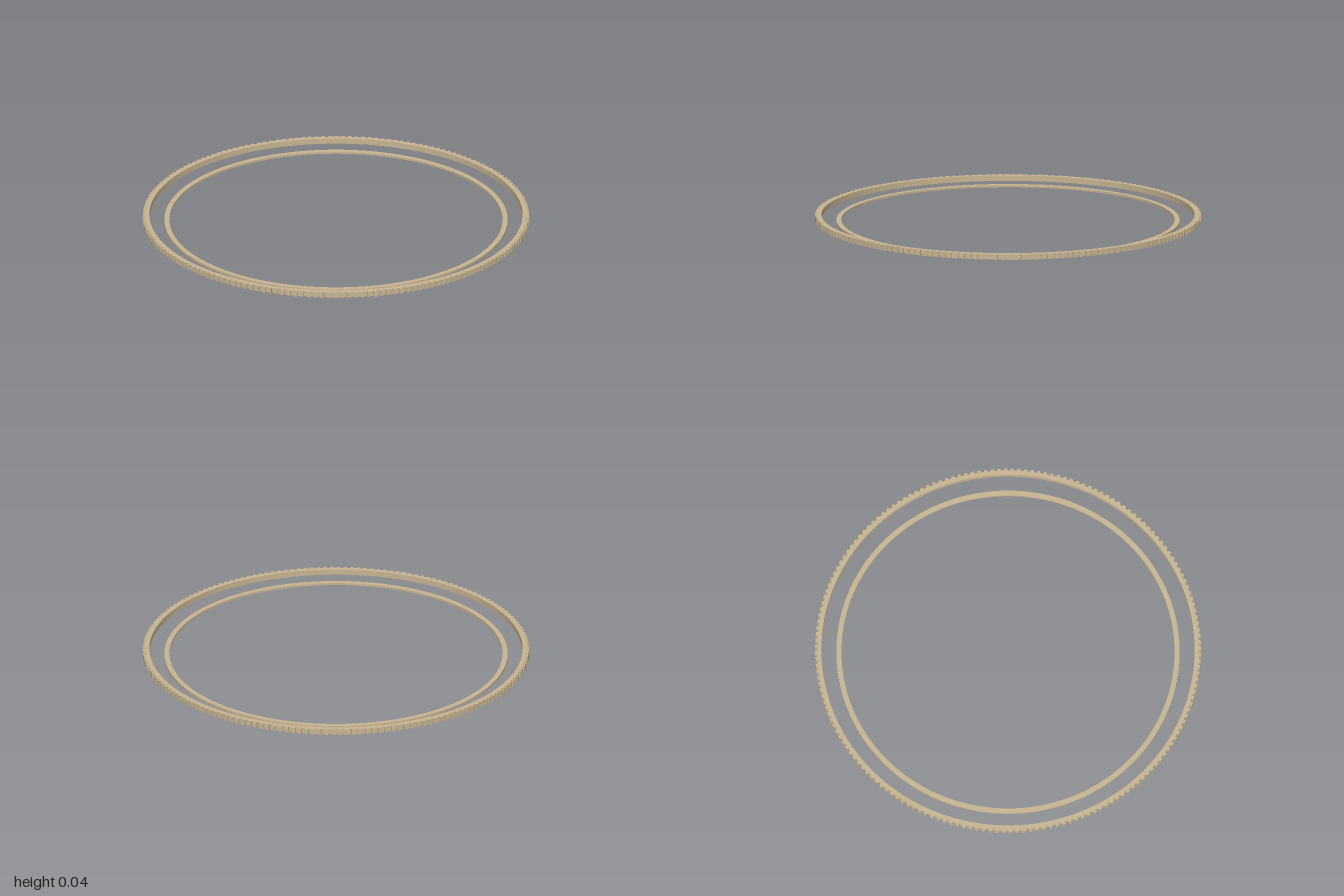
import * as THREE from 'three';

const TEETH = 180;

// Flat ring standing on y = bottom; the outline is a list of points around the rim
function ring(name, outline, innerRadius, bottom, height, material) {
  const shape = new THREE.Shape(outline);
  const hole = new THREE.Path();
  hole.absarc(0, 0, innerRadius, 0, Math.PI * 2, true);
  shape.holes.push(hole);
  const geometry = new THREE.ExtrudeGeometry(shape, { depth: height, bevelEnabled: false, curveSegments: 90 });
  geometry.rotateX(-Math.PI / 2);
  geometry.translate(0, bottom, 0);
  const mesh = new THREE.Mesh(geometry, material);
  mesh.name = name;
  return mesh;
}

const polar = (r, a) => new THREE.Vector2(r * Math.cos(a), r * Math.sin(a));

// Rim with small square teeth
function toothedOutline(rootRadius, tipRadius) {
  const points = [];
  const step = (Math.PI * 2) / TEETH;
  for (let i = 0; i < TEETH; i++) {
    const start = (i - 0.25) * step;
    const end = (i + 0.25) * step;
    points.push(polar(rootRadius, start), polar(tipRadius, start), polar(tipRadius, end), polar(rootRadius, end));
  }
  return points;
}

// Plain round rim
function roundOutline(radius, segments = 180) {
  return Array.from({ length: segments }, (_, i) => polar(radius, (i / segments) * Math.PI * 2));
}

export function createModel() {
  const model = new THREE.Group();
  model.name = 'concentricRings';
  const tan = new THREE.MeshStandardMaterial({ color: 0xc8b592 });
  tan.name = 'tan';

  // Raised outer ring with a toothed rim
  model.add(ring('toothedOuterRing', toothedOutline(0.99, 1.0), 0.967, 0.011, 0.029, tan));
  // Thin inner ring below it
  model.add(ring('innerRing', roundOutline(0.89), 0.863, 0, 0.011, tan));
  return model;
}
